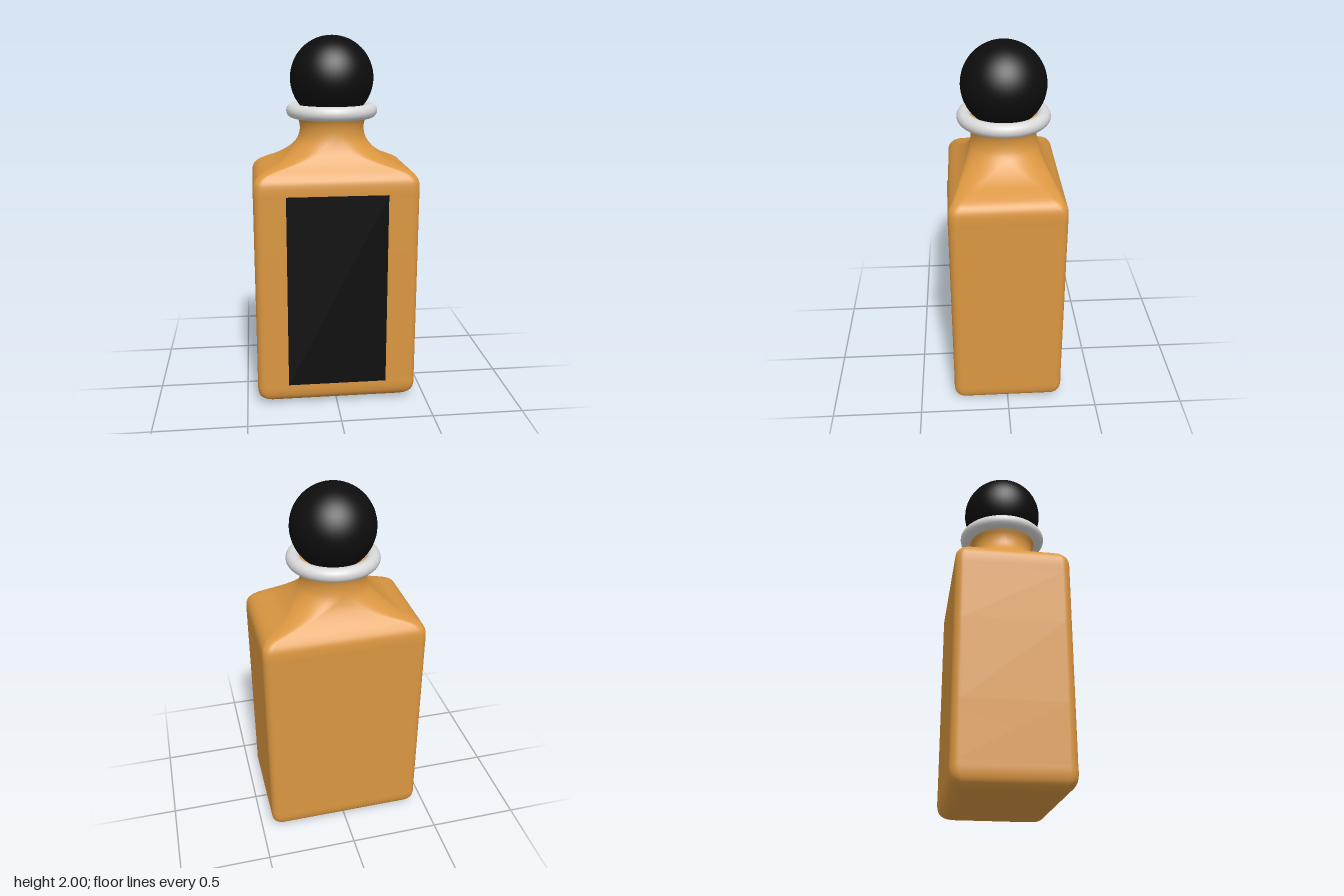
import * as THREE from 'three';
import { mergeVertices } from 'three/addons/utils/BufferGeometryUtils.js';

// One level of the bottle: half width, half depth, height
const LEVELS = [
  [0, 0, 0], [0.2, 0.13, 0.006], [0.36, 0.235, 0.012], [0.4, 0.268, 0.022], [0.43, 0.296, 0.05],
  [0.44, 0.306, 0.09], [0.44, 0.306, 0.15], [0.44, 0.306, 1.16], [0.44, 0.306, 1.22],
  [0.434, 0.3, 1.26], [0.41, 0.28, 1.293], [0.36, 0.258, 1.32], [0.295, 0.234, 1.35],
  [0.23, 0.202, 1.4], [0.19, 0.184, 1.45], [0.175, 0.175, 1.5], [0.178, 0.178, 1.54],
  [0.19, 0.19, 1.57], [0.2, 0.2, 1.6], [0, 0, 1.6],
];

// Loft of rounded rectangles that turn into circles at the neck
function bottleGeometry() {
  const curve = new THREE.CatmullRomCurve3(LEVELS.map((l) => new THREE.Vector3(...l)));
  const steps = (LEVELS.length - 1) * 3;
  const arc = 10;
  const ring = 4 * (arc + 1);
  const pos = [];
  const index = [];
  for (let i = 0; i <= steps; i++) {
    const p = curve.getPoint(i / steps);
    const hx = Math.max(p.x, 0);
    const hz = Math.max(p.y, 0);
    const small = Math.min(hx, hz);
    const r = THREE.MathUtils.lerp(Math.min(0.045, small), small, THREE.MathUtils.smoothstep(p.z, 1.29, 1.47));
    for (let c = 0; c < 4; c++) {
      const sx = c === 0 || c === 3 ? 1 : -1;
      const sz = c < 2 ? 1 : -1;
      for (let k = 0; k <= arc; k++) {
        const a = (c + k / arc) * Math.PI / 2;
        pos.push(sx * (hx - r) + r * Math.cos(a), p.z, sz * (hz - r) + r * Math.sin(a));
      }
    }
    if (i === steps) break;
    for (let j = 0; j < ring; j++) {
      const a = i * ring + j;
      const b = i * ring + (j + 1) % ring;
      index.push(a, a + ring, b, b, a + ring, b + ring);
    }
  }
  const geo = new THREE.BufferGeometry();
  geo.setAttribute('position', new THREE.Float32BufferAttribute(pos, 3));
  geo.setIndex(index);
  const merged = mergeVertices(geo, 1e-5);
  merged.computeVertexNormals();
  return merged;
}

export function createModel() {
  const amber = new THREE.MeshStandardMaterial({ color: 0xda9640 });
  amber.name = 'amber glass';
  const black = new THREE.MeshStandardMaterial({ color: 0x0d0d0d });
  black.name = 'black';
  const silver = new THREE.MeshStandardMaterial({ color: 0xd9d9d9 });
  silver.name = 'silver';

  const group = new THREE.Group();
  group.name = 'bottle';
  const add = (name, geometry, material, y, z = 0) => {
    const mesh = new THREE.Mesh(geometry, material);
    mesh.name = name;
    mesh.position.set(0, y, z);
    group.add(mesh);
  };

  add('bottleBody', bottleGeometry(), amber, 0);
  // Thin plate on the front face
  add('frontLabel', new THREE.BoxGeometry(0.54, 1.065, 0.006), black, 0.6575, 0.306);
  // Collar around the neck, ball stopper on top
  add('collar', new THREE.TorusGeometry(0.21, 0.038, 20, 64).rotateX(Math.PI / 2), silver, 1.603);
  add('ballStopper', new THREE.SphereGeometry(0.225, 48, 32), black, 1.775);
  return group;
}
